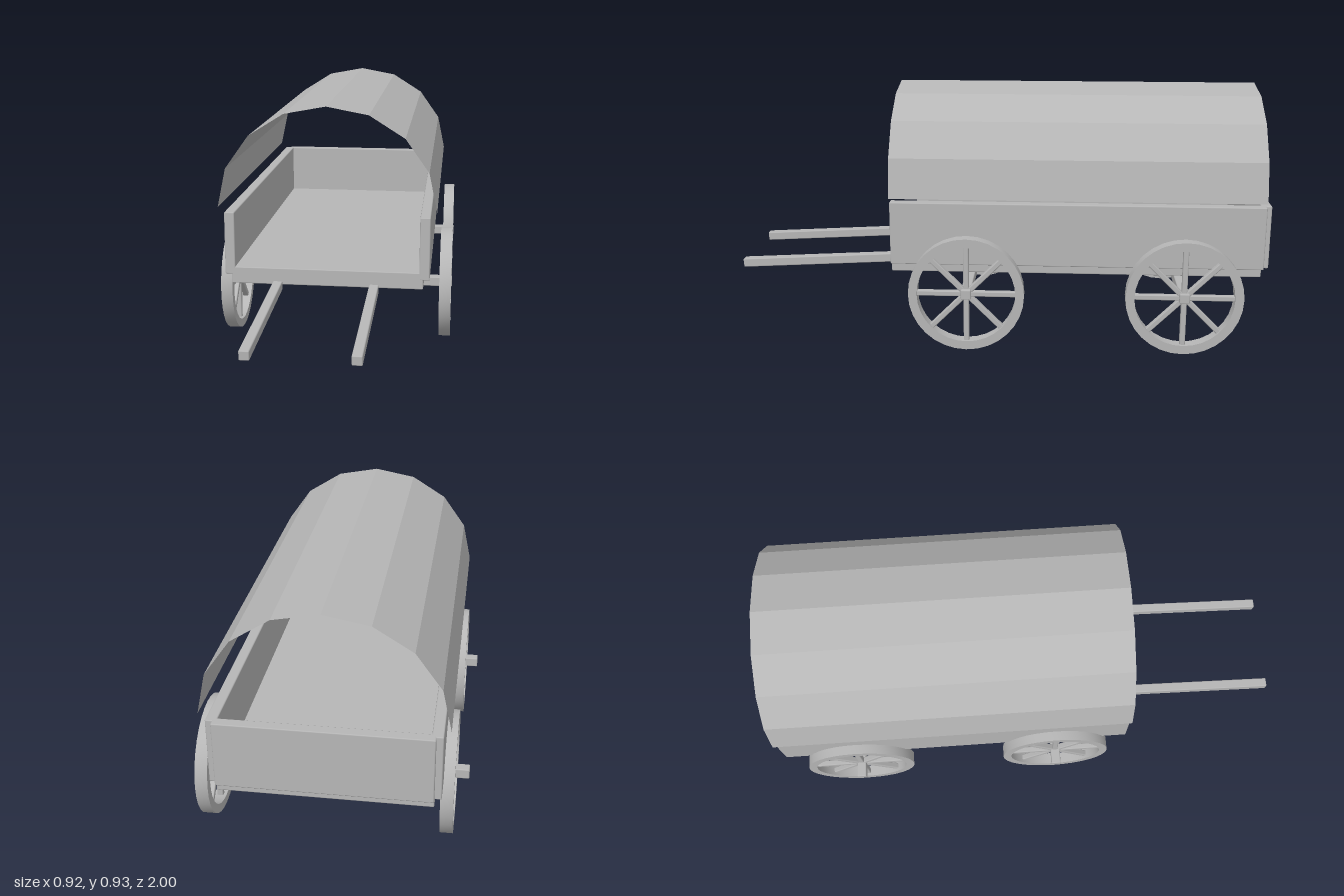
import * as THREE from 'three';
import { toCreasedNormals } from 'three/addons/utils/BufferGeometryUtils.js';
import { RoundedBoxGeometry } from 'three/addons/geometries/RoundedBoxGeometry.js';

export function createModel() {
  const wagon = new THREE.Group();
  wagon.name = 'coveredWagon';

  const grey = new THREE.MeshStandardMaterial({ color: 0xb6b6b6, side: THREE.DoubleSide });
  grey.name = 'plain grey';

  // Softly bevelled beam or board given by its size and centre
  function board(name, size, centre, parent = wagon) {
    const bevel = Math.min(0.004, Math.min(...size) / 4);
    const mesh = new THREE.Mesh(new RoundedBoxGeometry(...size, 1, bevel), grey);
    mesh.name = name;
    mesh.position.set(...centre);
    parent.add(mesh);
    return mesh;
  }

  // Wagon bed: floor, two sides and a tailboard; the front is open
  board('floor', [0.71, 0.063, 1.36], [0, 0.297, -0.295]);
  for (const [side, name] of [[1, 'leftSideBoard'], [-1, 'rightSideBoard']]) {
    board(name, [0.038, 0.235, 1.365], [side * 0.359, 0.418, -0.297]);
  }
  board('tailboard', [0.71, 0.235, 0.038], [0, 0.418, -0.981]);

  // Faceted canvas cover: an open half tube of eight flat strips
  const coverLength = 1.36;
  let coverGeometry = new THREE.CylinderGeometry(0.4, 0.4, coverLength, 8, 1, true, -Math.PI / 2, Math.PI);
  coverGeometry.rotateX(-Math.PI / 2);
  coverGeometry.scale(1, 0.375 / 0.4, 1);
  coverGeometry = coverGeometry.toNonIndexed();
  coverGeometry.computeVertexNormals();
  const cover = new THREE.Mesh(coverGeometry, grey);
  cover.name = 'canvasCover';
  cover.position.set(0, 0.555, -0.295);
  wagon.add(cover);

  // Wheel rim shared by all wheels
  const radius = 0.212, rimWidth = 0.044;
  const ring = new THREE.Shape().absarc(0, 0, radius, 0, Math.PI * 2);
  ring.holes.push(new THREE.Path().absarc(0, 0, 0.18, 0, Math.PI * 2, true));
  const rimGeometry = toCreasedNormals(
    new THREE.ExtrudeGeometry(ring, { depth: rimWidth, bevelEnabled: false, curveSegments: 16 }), 0.6);
  rimGeometry.translate(0, 0, -rimWidth / 2);
  rimGeometry.rotateY(Math.PI / 2);

  function wheel(name, x, z) {
    const group = new THREE.Group();
    group.name = name;
    group.position.set(x, radius, z);
    const rim = new THREE.Mesh(rimGeometry, grey);
    rim.name = 'rim';
    group.add(rim);
    // Four crossing bars make eight spokes
    for (let i = 0; i < 4; i++) {
      const spoke = board('spoke', [0.022, 0.42, 0.02], [0, 0, 0], group);
      spoke.rotation.x = i * Math.PI / 4;
    }
    wagon.add(group);
  }

  // Square axles, each with a pair of wheels
  for (const [end, z] of [['front', 0.1], ['rear', -0.69]]) {
    board(end + 'Axle', [0.918, 0.037, 0.037], [0, 0.213, z]);
    wheel(end + 'LeftWheel', 0.434, z);
    wheel(end + 'RightWheel', -0.392, z);
  }

  // Pulling shafts sloping down towards the front
  for (const [name, x] of [['leftShaft', 0.176], ['rightShaft', -0.18]]) {
    board(name, [0.035, 0.034, 0.612], [x, 0.247, 0.694]).rotation.x = 0.056;
  }

  return wagon;
}
